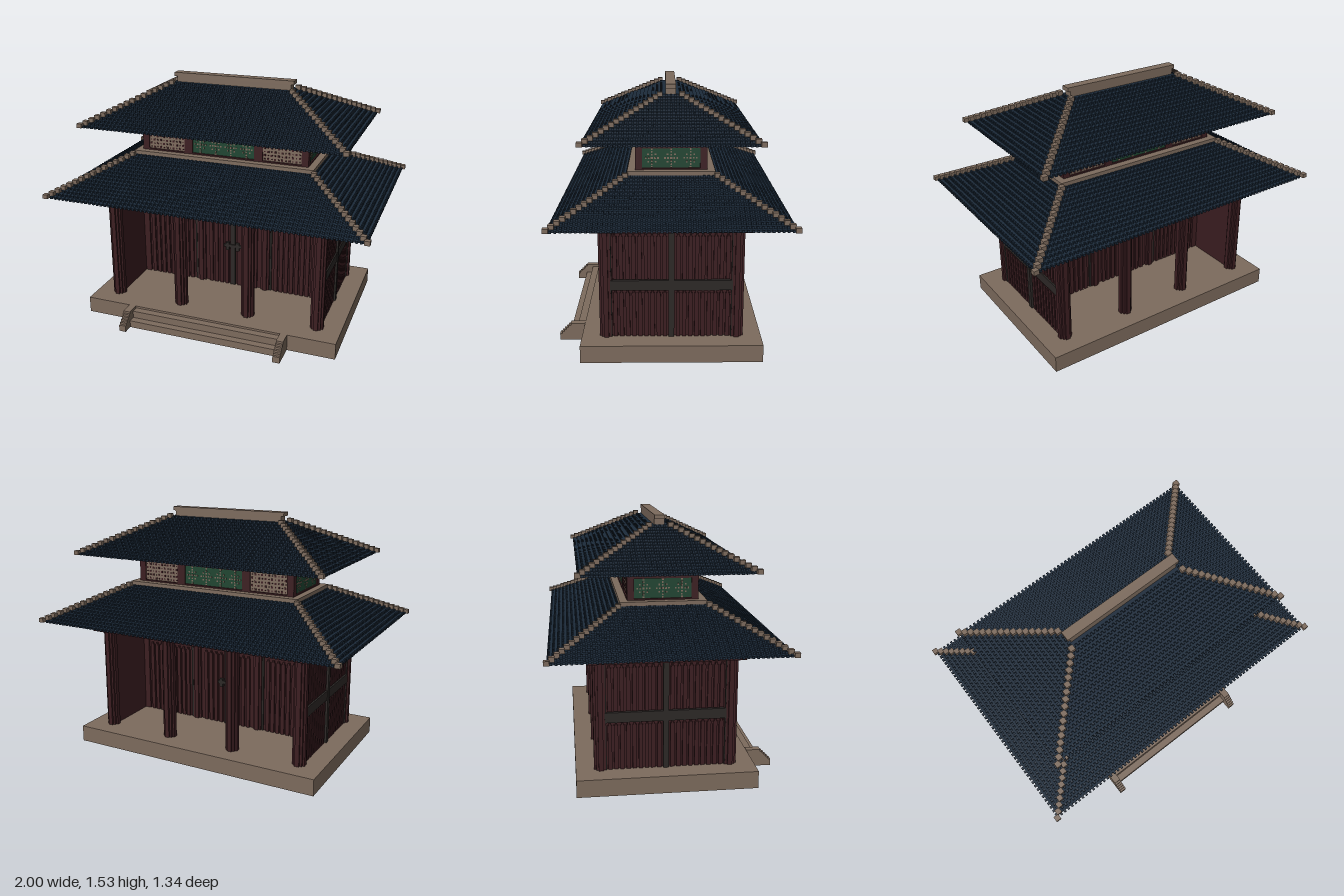
import * as THREE from 'three';
import { mergeGeometries } from 'three/addons/utils/BufferGeometryUtils.js';

const mat = (name, color) => {
  const m = new THREE.MeshStandardMaterial({ color });
  m.name = name;
  return m;
};

// Box from min and max on each axis
function box(x0, x1, y0, y1, z0, z1) {
  return new THREE.BoxGeometry(x1 - x0, y1 - y0, z1 - z0)
    .translate((x0 + x1) / 2, (y0 + y1) / 2, (z0 + z1) / 2);
}
// Box centred on x = 0 and z = 0
const slab = (hx, y0, y1, hz) => box(-hx, hx, y0, y1, -hz, hz);

export function createModel() {
  const model = new THREE.Group();
  model.name = 'twoTierHall';
  const stone = mat('stone', 0x7d6b5d), red = mat('darkRedWood', 0x3c1e21);
  const navy = mat('roofTile', 0x1c2b3b), iron = mat('darkTimber', 0x2c2826);
  const green = mat('carvedGreen', 0x1f4531);
  const add = (name, material, list, parent = model) => {
    const mesh = new THREE.Mesh(mergeGeometries(list), material);
    mesh.name = name;
    parent.add(mesh);
    return mesh;
  };
  const V = 0.0132; // block size of the stepped work

  // Platform and front steps
  add('platform', stone, [slab(0.82, 0, 0.103, 0.52)]);
  add('steps', stone, [
    box(-0.48, 0.48, 0, 0.045, 0.52, 0.61),
    box(-0.48, 0.48, 0.045, 0.09, 0.52, 0.565),
  ]);
  const cheeks = [];
  for (const s of [-1, 1]) {
    for (let i = 0; i < 6; i++) {
      const y = i < 1 ? 0 : 0.04 + (i - 1) * V;
      cheeks.push(box(s * 0.503 - 0.022, s * 0.503 + 0.022, y, i < 1 ? 0.04 : y + V,
        0.52, 0.672 - i * V));
    }
  }
  add('stepCheeks', stone, cheeks);

  // Blocky round columns: front, middle and back rows
  const columns = [];
  for (const x of [-0.67, -0.225, 0.225, 0.67]) {
    for (const z of [-0.375, 0, 0.375]) {
      if (z === 0 && Math.abs(x) > 0.5) continue;
      for (const [a, b] of [[0.04, 0.014], [0.028, 0.028], [0.014, 0.04]]) {
        columns.push(box(x - a, x + a, 0.103, 0.75, z - b, z + b));
      }
    }
  }
  add('columns', red, columns);

  // Slat with a narrower blunt top, running along x
  const slat = (list, x, y0, y1, z0, z1) => {
    list.push(box(x - 0.012, x + 0.012, y0, y1 - V, z0, z1));
    list.push(box(x - 0.006, x + 0.006, y1 - V, y1, z0, z1));
  };

  // Side walls: planks outside, dark beam and posts
  for (const s of [-1, 1]) {
    const wall = new THREE.Group();
    wall.name = s > 0 ? 'leftSideWall' : 'rightSideWall';
    const planks = [], timber = [];
    for (const half of [-1, 1]) {
      for (let i = 0; i < 9; i++) {
        const u = half * (0.038 + i * 0.0355);
        slat(planks, u, 0.103, 0.385, 0.68, 0.693);
        slat(planks, u, 0.455, 0.725, 0.68, 0.693);
      }
      timber.push(box(half * 0.35 - 0.008, half * 0.35 + 0.008, 0.103, 0.75, 0.67, 0.697));
    }
    timber.push(box(-0.35, 0.35, 0.39, 0.45, 0.67, 0.699));
    timber.push(box(-0.016, 0.016, 0.103, 0.75, 0.67, 0.703));
    add('sideBoard', red, [box(-0.37, 0.37, 0.103, 0.75, 0.65, 0.68)], wall);
    add('sidePlanks', red, planks, wall);
    add('sideTimbers', iron, timber, wall);
    wall.rotation.y = s * Math.PI / 2;
    model.add(wall);
  }

  // Middle wall with doors, detailed alike on front and back
  add('middleWall', red, [box(-0.65, 0.65, 0.103, 0.75, -0.014, 0.014)]);
  for (const turn of [0, Math.PI]) {
    const face = new THREE.Group();
    face.name = turn ? 'backDoorFace' : 'frontDoorFace';
    const parts = [], timber = [box(-0.016, 0.016, 0.103, 0.75, 0.01, 0.03)];
    for (const [a, b] of [[-0.6, -0.28], [-0.175, -0.025], [0.025, 0.175], [0.28, 0.6]]) {
      const n = Math.round((b - a) / 0.036);
      for (let i = 0; i < n; i++) {
        slat(parts, a + (i + 0.5) * (b - a) / n, 0.103, 0.59, 0.014, 0.027);
      }
      // Framed upper panel
      parts.push(box(a, b, 0.61, 0.622, 0.014, 0.03), box(a, b, 0.71, 0.722, 0.014, 0.03));
      for (const x of [a, b - 0.012]) parts.push(box(x, x + 0.012, 0.622, 0.71, 0.014, 0.03));
    }
    for (const s of [-1, 1]) {
      parts.push(box(s * 0.63 - 0.02, s * 0.63 + 0.02, 0.103, 0.75, 0.014, 0.028));
      timber.push(box(s * 0.262 - 0.006, s * 0.262 + 0.006, 0.103, 0.75, 0.01, 0.024));
    }
    add('doorSlats', red, parts, face);
    add('doorTimbers', iron, timber, face);
    add('doorHandles', iron, [box(-0.06, 0.06, 0.38, 0.4, 0.02, 0.038),
      box(-0.046, -0.024, 0.36, 0.415, 0.02, 0.042),
      box(0.024, 0.046, 0.36, 0.415, 0.02, 0.042)], face);
    face.rotation.y = turn;
    model.add(face);
  }

  // Cornices under each roof, and the upper storey
  add('lowerCornice', red, [slab(0.75, 0.75, 0.785, 0.447), slab(0.765, 0.785, 0.826, 0.46)]);
  add('upperStorey', red, [slab(0.525, 1.04, 1.21, 0.192)]);
  add('upperCornice', red, [slab(0.55, 1.2, 1.222, 0.222), slab(0.565, 1.222, 1.244, 0.238)]);

  // Upper storey faces: frames and carved panels
  function upperFace(name, half, dist, turn, posts, panels) {
    const g = new THREE.Group();
    g.name = name;
    const frame = [box(-half, half, 1.05, 1.068, dist, dist + V),
      box(-half, half, 1.184, 1.21, dist, dist + V)];
    for (const [a, b] of posts) frame.push(box(a, b, 1.05, 1.21, dist, dist + V));
    add('upperFrame', red, frame, g);
    for (const [a, b, flowers] of panels) {
      add('carvedPanel', flowers ? green : stone,
        [box(a, b, 1.07, 1.184, dist, dist + 0.006)], g);
      const dots = [];
      const dot = (x, y, r) => dots.push(box(x - r, x + r, y - r, y + r, dist + 0.005, dist + 0.009));
      if (flowers) {
        // Open flowers of small blocks
        for (let i = 0; i < flowers; i++) {
          const cx = a + (i + 0.5) * (b - a) / flowers;
          for (let k = 0; k < 8; k++) {
            const t = k * Math.PI / 4;
            for (const r of k % 2 ? [0.03] : [0.018, 0.035]) {
              dot(cx + r * Math.cos(t), 1.127 + r * Math.sin(t), 0.0045);
            }
          }
          dot(cx, 1.127, 0.006);
          for (const y of [1.076, 1.178]) dot(cx, y, 0.005);
        }
        add('panelFlowers', stone, dots, g);
      } else {
        // Pierced lattice
        for (let i = 0; i < 11; i++) for (let j = 0; j < 5; j++) {
          dot(a + (i + 0.5) * (b - a) / 11, 1.07 + (j + 0.5) * 0.0228, (i + j) % 2 ? 0.006 : 0.0035);
        }
        add('panelLattice', red, dots, g);
      }
    }
    g.rotation.y = turn;
    model.add(g);
  }
  for (const k of [0, 1]) {
    upperFace(k ? 'upperBack' : 'upperFront', 0.525, 0.192, k * Math.PI,
      [[-0.538, -0.495], [-0.255, -0.2], [0.2, 0.255], [0.495, 0.538]],
      [[-0.495, -0.255, 0], [-0.2, 0.2, 4], [0.255, 0.495, 0]]);
    upperFace(k ? 'upperRight' : 'upperLeft', 0.192, 0.525, k ? -Math.PI / 2 : Math.PI / 2,
      [[-0.205, -0.165], [0.165, 0.205]], [[-0.165, 0.165, 3]]);
  }

  // Hipped roof: stepped courses with rib ends, and blocks along the hips
  function roof(name, hx, hz, y0, courses) {
    const g = new THREE.Group();
    g.name = name;
    const tiles = [], hips = [];
    for (let k = 0; k < courses; k++) {
      const a = hx - 2 * V * k, b = hz - 2 * V * k, y = y0 + V * k, t = y + V;
      tiles.push(slab(a, y, t, b));
      const nx = Math.floor(a / (2 * V)), nz = Math.floor(b / (2 * V));
      for (const s of [-1, 1]) {
        for (let i = -nx; i <= nx; i++) {
          const x = i * 2 * V, z = s * (b + V / 2);
          tiles.push(box(x - V / 2, x + V / 2, y, t, z - V / 2, z + V / 2));
        }
        for (let i = -nz; i <= nz; i++) {
          const z = i * 2 * V, x = s * (a + V / 2);
          tiles.push(box(x - V / 2, x + V / 2, y, t, z - V / 2, z + V / 2));
        }
        for (const q of [-1, 1]) {
          const x = s * (a + V), z = q * (b + V), r = 0.016;
          hips.push(box(x - r, x + r, y + 0.003, y + 0.029, z - r, z + r));
        }
      }
    }
    add('roofTiles', navy, tiles, g);
    add('hipRidges', stone, hips, g);
    model.add(g);
  }
  roof('lowerRoof', 0.97, 0.643, 0.826, 16);
  roof('upperRoof', 0.8, 0.473, 1.244, 17);
  add('lowerRoofEdging', stone, [slab(0.58, 1.037, 1.06, 0.25)]);
  add('topRidge', stone, [slab(0.37, 1.46, 1.502, 0.03), slab(0.388, 1.502, 1.526, 0.03)]);
  return model;
}
